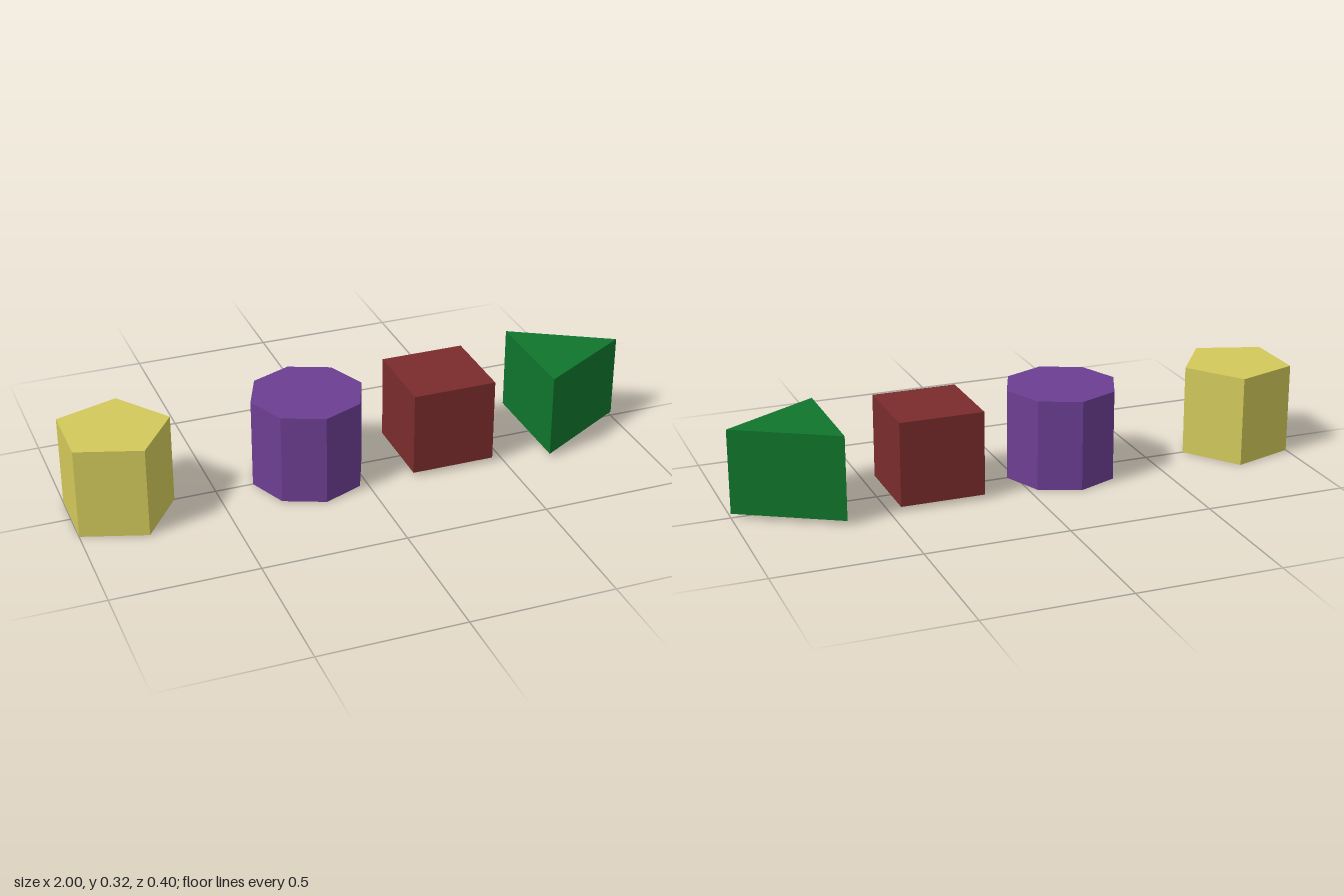
import * as THREE from 'three';

// Upright prism with one corner pointing to +x
function prism(name, sides, radius, x, y0, y1, color) {
  const geometry = new THREE.CylinderGeometry(radius, radius, y1 - y0, sides, 1, false, Math.PI / 2);
  return place(name, geometry, x, (y0 + y1) / 2, color);
}

function place(name, geometry, x, y, color) {
  const material = new THREE.MeshStandardMaterial({ color, flatShading: true });
  const mesh = new THREE.Mesh(geometry, material);
  mesh.name = name;
  mesh.position.set(x, y, 0);
  return mesh;
}

export function createModel() {
  const group = new THREE.Group();
  group.name = 'shapeBlocks';
  group.add(
    prism('pentagonBlock', 5, 0.196, -0.841, 0, 0.319, 0xd2c85a),
    prism('octagonBlock', 8, 0.198, -0.169, 0, 0.319, 0x6c3e92),
    place('squareBlock', new THREE.BoxGeometry(0.296, 0.296, 0.296), 0.313, 0.163, 0x7a2c2c),
    prism('triangleBlock', 3, 0.227, 0.773, 0.015, 0.31, 0x10752c)
  );
  return group;
}
